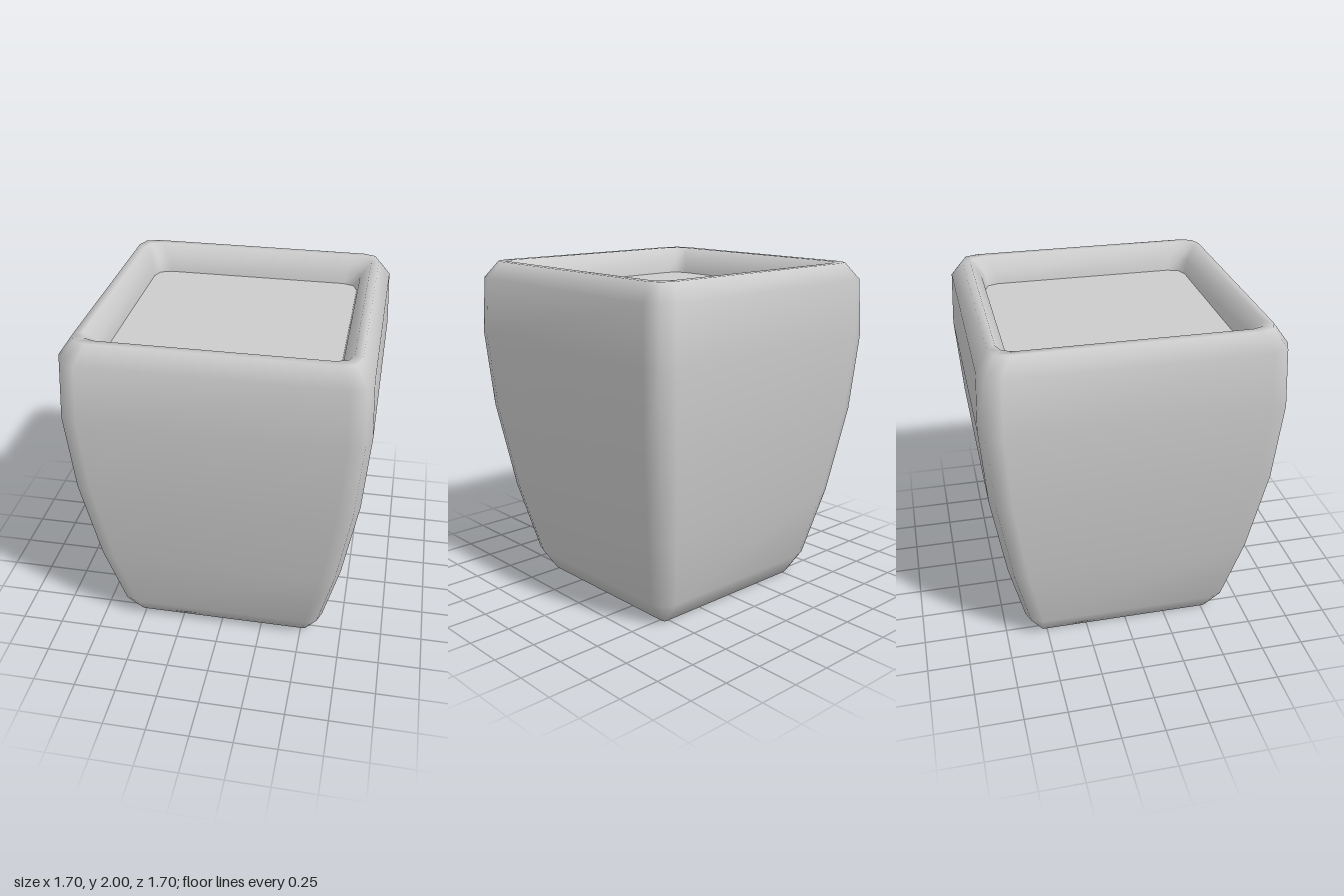
import * as THREE from 'three';

// Square outline of half width h with clipped corners: three points per corner
function ring(h, y, clip) {
  const a = h - clip, b = h - clip * 0.27;
  const pts = [];
  for (let q = 0; q < 4; q++) {
    for (const [x, z] of [[h, a], [b, b], [a, h]]) {
      const [c, s] = [[1, 0], [0, 1], [-1, 0], [0, -1]][q];
      pts.push(new THREE.Vector3(x * c - z * s, y, x * s + z * c));
    }
  }
  return pts;
}

// Joins rings, listed from bottom outside to top inside, into one smooth skin
function loft(rings, closeBottom) {
  const n = rings[0].length, points = rings.flat(), index = [];
  for (let r = 0; r < rings.length - 1; r++) {
    for (let i = 0; i < n; i++) {
      const j = (i + 1) % n;
      const a = r * n + i, b = r * n + j, c = a + n, d = b + n;
      index.push(a, c, b, b, c, d);
    }
  }
  if (closeBottom) {
    const centre = points.length;
    points.push(new THREE.Vector3(0, rings[0][0].y, 0));
    for (let i = 0; i < n; i++) index.push(centre, i, (i + 1) % n);
  }
  const g = new THREE.BufferGeometry().setFromPoints(points);
  g.setIndex(index);
  g.computeVertexNormals();
  return g;
}

export function createModel() {
  const group = new THREE.Group();
  const material = new THREE.MeshStandardMaterial({ color: 0xcccccc, side: THREE.DoubleSide });

  // Pot: half width, height and corner clip, up the wall and over the rim
  const profile = [
    [0.535, 0, 0.02], [0.63, 0.14, 0.1], [0.73, 0.57, 0.11], [0.815, 1.1, 0.12],
    [0.85, 1.57, 0.12], [0.835, 1.9, 0.12], [0.765, 2, 0.1],
    [0.72, 2, 0.09], [0.66, 1.92, 0.09], [0.645, 1.84, 0.09],
  ];
  const pot = new THREE.Mesh(loft(profile.map((p) => ring(...p)), true), material);
  pot.name = 'pot';
  group.add(pot);

  // Flat soil surface inside the rim
  const outline = ring(0.645, 0, 0.09).map((p) => new THREE.Vector2(p.x, p.z));
  const soil = new THREE.Mesh(new THREE.ShapeGeometry(new THREE.Shape(outline)), material);
  soil.rotation.x = -Math.PI / 2;
  soil.position.y = 1.84;
  soil.name = 'soil';
  group.add(soil);

  return group;
}
